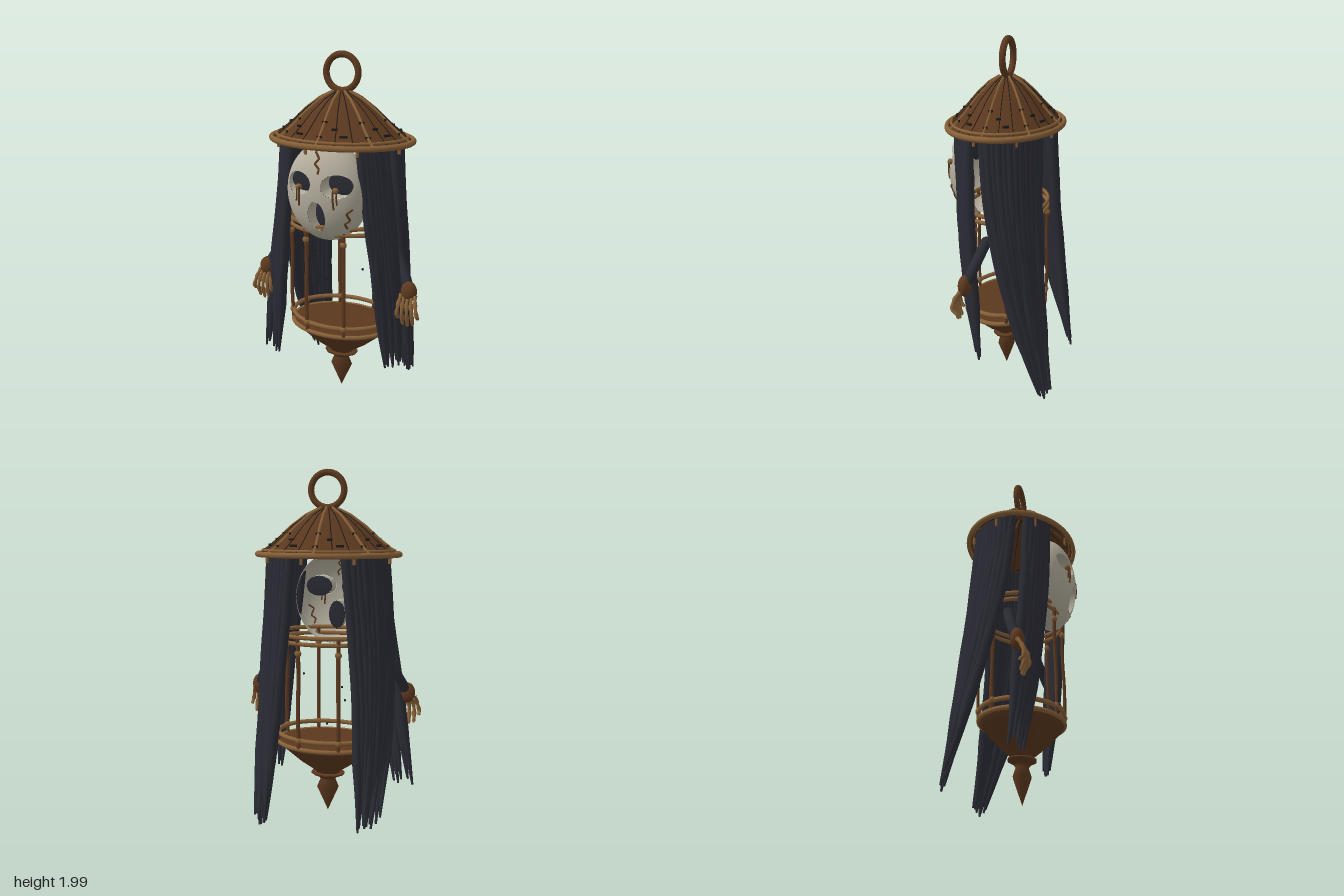
import * as THREE from 'three';

const mat = (name, color, side = THREE.FrontSide) => {
  const m = new THREE.MeshStandardMaterial({ color, side });
  m.name = name;
  return m;
};
const V = (x, y, z) => new THREE.Vector3(x, y, z);

export function createModel() {
  const model = new THREE.Group();
  const wood = mat('dark wood', 0x5b381e, THREE.DoubleSide);
  const cane = mat('light cane', 0x876037);
  const rust = mat('rusty brown', 0x5e3a20);
  const hairMat = mat('black hair', 0x2a2b34);
  const bone = mat('bone', 0xb4ae9d, THREE.DoubleSide);
  const black = mat('black thread', 0x1d1a1a);

  let seed = 7;
  const rnd = () => ((seed = (seed * 16807) % 2147483647) / 2147483647) - 0.5;

  const add = (parent, name, geo, material, x = 0, y = 0, z = 0) => {
    const m = new THREE.Mesh(geo, material);
    m.name = name;
    m.position.set(x, y, z);
    parent.add(m);
    return m;
  };

  // Tube whose radius follows a rule along its length
  const taperTube = (points, segs, sides, radius) => {
    const curve = new THREE.CatmullRomCurve3(points);
    const g = new THREE.TubeGeometry(curve, segs, 1, sides);
    const p = g.attributes.position, v = V(0, 0, 0);
    for (let i = 0; i <= segs; i++) {
      const c = curve.getPointAt(i / segs), r = radius(i / segs);
      for (let j = 0; j <= sides; j++) {
        const k = i * (sides + 1) + j;
        v.fromBufferAttribute(p, k).sub(c).multiplyScalar(r).add(c);
        p.setXYZ(k, v.x, v.y, v.z);
      }
    }
    return g;
  };
  const line = (points, r) => new THREE.TubeGeometry(
    new THREE.CatmullRomCurve3(points, false, 'catmullrom', 0), points.length * 5, r, 6);

  // Oval lantern body: built round, then squashed front to back
  const lantern = new THREE.Group();
  lantern.name = 'lantern';
  lantern.position.z = 0.022;
  lantern.scale.z = 0.765;
  model.add(lantern);
  const hoop = (name, r, y, t) => {
    add(lantern, name, new THREE.TorusGeometry(r, t, 10, 64), cane, 0, y, 0).rotation.x = Math.PI / 2;
  };
  const lathe = (name, pts, segs, material) => add(lantern, name,
    new THREE.LatheGeometry(pts.map(([r, y]) => new THREE.Vector2(r, y)), segs), material);

  // Roof
  const roofProfile = [[0.41, 1.53], [0.36, 1.56], [0.295, 1.612], [0.21, 1.688], [0.125, 1.748], [0.045, 1.785]];
  lathe('roof', [...roofProfile, [0, 1.787]], 48, wood);
  const roofY = r => {
    let i = 0;
    while (i < 4 && r < roofProfile[i + 1][0]) i++;
    const [r0, y0] = roofProfile[i], [r1, y1] = roofProfile[i + 1];
    return y0 + (y1 - y0) * (r - r0) / (r1 - r0);
  };
  const onRoof = (a, r, lift) => V(r * Math.cos(a), roofY(r) + lift, r * Math.sin(a));
  hoop('roofRim', 0.405, 1.535, 0.016);
  hoop('roofInnerRim', 0.375, 1.557, 0.008);
  const stitch = (a, r, len) => {
    const p = onRoof(a, r, 0.006);
    add(lantern, 'roofStitch', new THREE.BoxGeometry(len, 0.012, 0.011), black, p.x, p.y, p.z).rotation.y = -a - Math.PI / 2;
  };
  for (let i = 0; i < 24; i++) {
    const a = i * Math.PI / 12, rib = i % 3 === 0;
    add(lantern, rib ? 'roofRib' : 'roofSeam',
      line(roofProfile.map(([r]) => onRoof(a, rib ? r * 1.015 : r * 0.97, rib ? 0.006 : 0.001)), rib ? 0.008 : 0.0028),
      rib ? cane : black);
    if (!rib) continue;
    stitch(a, 0.26, 0.028);
    stitch(a, 0.34, 0.028);
    stitch(a + Math.PI / 8, 0.335, 0.042);
    stitch(a + Math.PI / 8 + 0.16, 0.295, 0.03);
    add(lantern, 'roofPeg', new THREE.CylinderGeometry(0.009, 0.009, 0.045, 8), cane,
      0.37 * Math.cos(a + 0.2), 1.51, 0.37 * Math.sin(a + 0.2));
  }
  add(model, 'hangingRing', new THREE.TorusGeometry(0.095, 0.018, 12, 40), rust, 0, 1.887, 0.013);

  // Base bowl, floor and finial
  lathe('baseBowl', [[0, 0.22], [0.06, 0.225], [0.075, 0.26], [0.17, 0.325], [0.265, 0.405], [0.3, 0.435], [0.295, 0.45], [0, 0.45]], 40, wood);
  lathe('finial', [[0, 0.008], [0.066, 0.155], [0.045, 0.205], [0.06, 0.222], [0.102, 0.24], [0.1, 0.25], [0, 0.255]], 10, wood);
  hoop('baseHoop', 0.3, 0.442, 0.013);
  hoop('baseHoop', 0.295, 0.494, 0.013);

  // Cage bars and upper hoops
  hoop('upperHoop', 0.303, 1.05, 0.012);
  hoop('upperHoop', 0.303, 1.086, 0.012);
  for (let i = 0; i < 8; i++) {
    const a = (i + 0.5) * Math.PI / 4, at = (r, y) => V(r * Math.cos(a), y, r * Math.sin(a));
    add(lantern, 'cageBar', taperTube([at(0.3, 0.44), at(0.306, 0.65), at(0.298, 0.85), at(0.303, 1.08)], 16, 8,
      () => 0.012), rust);
    for (const y of [0.495, 0.995]) {
      const p = at(0.301, y);
      add(lantern, 'barKnot', new THREE.SphereGeometry(0.02, 10, 8), cane, p.x, p.y, p.z);
    }
  }

  // Specks floating in the cage
  for (const [x, y, z] of [[-0.16, 0.865, 0.05], [-0.09, 0.775, 0], [-0.18, 0.64, 0.06], [0, 0.55, 0], [0.17, 0.82, 0.1], [-0.1, 0.69, 0.03]])
    add(model, 'speck', new THREE.SphereGeometry(0.007, 8, 6), black, x, y, z);

  // Mask: a curved shell with eye and mouth openings
  const RX = 0.236, RY = 0.272, RZ = 0.155, CY = 1.272, CZ = 0.185;
  const maskZ = (x, y) => CZ + RZ * Math.sqrt(Math.max(0, 1 - (x / RX) ** 2 - ((y - CY) / RY) ** 2));
  const holes = [[-0.11, 1.335, 0.08, 0.06], [0.11, 1.335, 0.08, 0.06], [0, 1.165, 0.05, 0.083]];
  const inHole = (x, y, h) => Math.hypot((x - h[0]) / h[2], (y - h[1]) / h[3]);
  const rings = 56, cols = 96, pos = [], idx = [];
  for (let i = 0; i <= rings; i++) for (let j = 0; j < cols; j++) {
    const f = (i / rings) * 1.8 + 0.0001, a = j / cols * Math.PI * 2;
    pos.push(V(RX * Math.sin(f) * Math.cos(a), CY + RY * Math.sin(f) * Math.sin(a), CZ + RZ * Math.cos(f)));
  }
  const tri = (a, b, c) => {
    const x = (pos[a].x + pos[b].x + pos[c].x) / 3, y = (pos[a].y + pos[b].y + pos[c].y) / 3;
    if (pos[a].z < CZ || !holes.some(h => inHole(x, y, h) < 1)) idx.push(a, b, c);
  };
  for (let i = 0; i < rings; i++) for (let j = 0; j < cols; j++) {
    const k = (j + 1) % cols, a = i * cols + j, b = i * cols + k;
    tri(a, a + cols, b + cols);
    tri(a, b + cols, b);
  }
  for (const p of pos) for (const h of holes) {
    const d = inHole(p.x, p.y, h);
    if (d < 1 && d > 0.3 && p.z > CZ) {
      p.x = h[0] + (p.x - h[0]) / d;
      p.y = h[1] + (p.y - h[1]) / d;
      p.z = maskZ(p.x, p.y);
    }
  }
  const maskGeo = new THREE.BufferGeometry().setFromPoints(pos);
  maskGeo.setIndex(idx);
  maskGeo.computeVertexNormals();
  add(model, 'mask', maskGeo, bone);

  // Sockets: bone walls running back from each opening to a dark floor
  holes.forEach(([hx, hy, rx, ry], i) => {
    const label = i < 2 ? 'eye' : 'mouth', floor = 0.235;
    const wall = new THREE.CylinderGeometry(1, 1, 2, 48, 1, true).rotateX(Math.PI / 2);
    const p = wall.attributes.position;
    for (let k = 0; k < p.count; k++) {
      const x = hx + p.getX(k) * rx, y = hy + p.getY(k) * ry;
      p.setXYZ(k, x, y, p.getZ(k) > 0 ? maskZ(x, y) : floor);
    }
    wall.computeVertexNormals();
    add(model, label + 'SocketWall', wall, bone);
    add(model, label + 'Hollow', new THREE.SphereGeometry(1, 32, 8), hairMat, hx, hy, floor).scale.set(rx * 1.01, ry * 1.01, 0.005);
  });
  add(model, 'tooth', new THREE.BoxGeometry(0.045, 0.016, 0.015), cane, 0, 1.094, maskZ(0, 1.09) - 0.012);

  // Tears and cracks lying on the mask
  const onMask = pts => pts.map(([x, y]) => V(x, y, maskZ(x, y) + 0.003));
  for (const s of [-1, 1]) {
    add(model, 'pupil', new THREE.SphereGeometry(0.017, 12, 8), cane, s * 0.108, 1.315, 0.315);
    add(model, 'tear', line(onMask([[s * 0.1, 1.32], [s * 0.098, 1.27], [s * 0.102, 1.215]]), 0.006), rust);
    add(model, 'tear', line(onMask([[s * 0.118, 1.32], [s * 0.116, 1.28], [s * 0.12, 1.24]]), 0.005), rust);
  }
  for (const c of [
    [[-0.025, 1.5], [0.005, 1.47], [-0.015, 1.445], [0.015, 1.42], [0.01, 1.395]],
    [[0.19, 1.215], [0.16, 1.19], [0.172, 1.15], [0.145, 1.13], [0.15, 1.1]],
  ]) add(model, 'crack', line(onMask(c), 0.006), rust);

  // Hair: each lock is a row of overlapping strands from the roof down to a ragged tip
  const lock = (name, side, a0, a1, count, bulge, end0, end1) => {
    const g = new THREE.Group();
    g.name = name;
    model.add(g);
    for (let i = 0; i < count; i++) {
      const u = i / (count - 1), a = THREE.MathUtils.degToRad(a0 + (a1 - a0) * u);
      const top = V(side * 0.325 * Math.cos(a), 1.55, 0.02 + 0.25 * Math.sin(a));
      const tip = V(...end0).lerp(V(...end1), u).add(V(rnd() * 0.02, Math.abs(rnd()) * 0.16, rnd() * 0.02));
      const pts = [];
      for (let k = 0; k <= 8; k++) {
        const t = k / 8, p = top.clone().lerp(tip, t ** 1.75);
        p.y = top.y + (tip.y - top.y) * t;
        p.x += side * bulge * Math.sin(Math.PI * t) + rnd() * 0.006;
        p.z += rnd() * 0.006;
        pts.push(p);
      }
      add(g, 'strand', taperTube(pts, 28, 8, t => t < 0.75 ? 0.028 : 0.006 + 0.022 * (1 - t) / 0.25), hairMat);
    }
  };
  lock('backLeftHair', 1, 5, -62, 12, 0.025, [0.35, 0.005, -0.28], [0.28, 0.005, -0.325]);
  lock('backRightHair', -1, 5, -62, 12, 0.04, [-0.37, 0.06, -0.27], [-0.26, 0.04, -0.325]);
  lock('frontLeftHair', 1, 25, 52, 7, 0.04, [0.39, 0.22, 0.06], [0.31, 0.19, 0.1]);
  lock('frontRightHair', -1, 25, 52, 7, 0.03, [-0.49, 0.16, 0.08], [-0.38, 0.18, 0.12]);

  // Arms: sleeve, wrist and bony fingers
  for (const s of [-1, 1]) {
    const arm = new THREE.Group();
    arm.name = s > 0 ? 'leftArm' : 'rightArm';
    model.add(arm);
    add(arm, 'sleeve', taperTube([V(s * 0.33, 0.955, 0.03), V(s * 0.39, 0.865, 0.06), V(s * 0.445, 0.76, 0.1)], 12, 12, () => 0.029), hairMat);
    add(arm, 'shoulder', new THREE.SphereGeometry(0.029, 12, 8), hairMat, s * 0.33, 0.955, 0.03);
    add(arm, 'wrist', new THREE.SphereGeometry(1, 16, 12), rust, s * 0.452, 0.74, 0.11).scale.set(0.046, 0.06, 0.036);
    for (let i = 0; i < 5; i++) {
      const x = 0.412 + i * 0.02, e = 0.402 + i * 0.029, low = [0.585, 0.55, 0.545, 0.555, 0.6][i];
      add(arm, 'finger', taperTube([V(s * x, 0.725, 0.12), V(s * (x + e) / 2, 0.675, 0.15), V(s * e, 0.62, 0.157), V(s * e, low, 0.135)],
        16, 8, t => (0.011 + 0.002 * Math.cos(t * 18)) * (t > 0.95 ? 0.4 : 1)), cane);
    }
  }
  return model;
}
